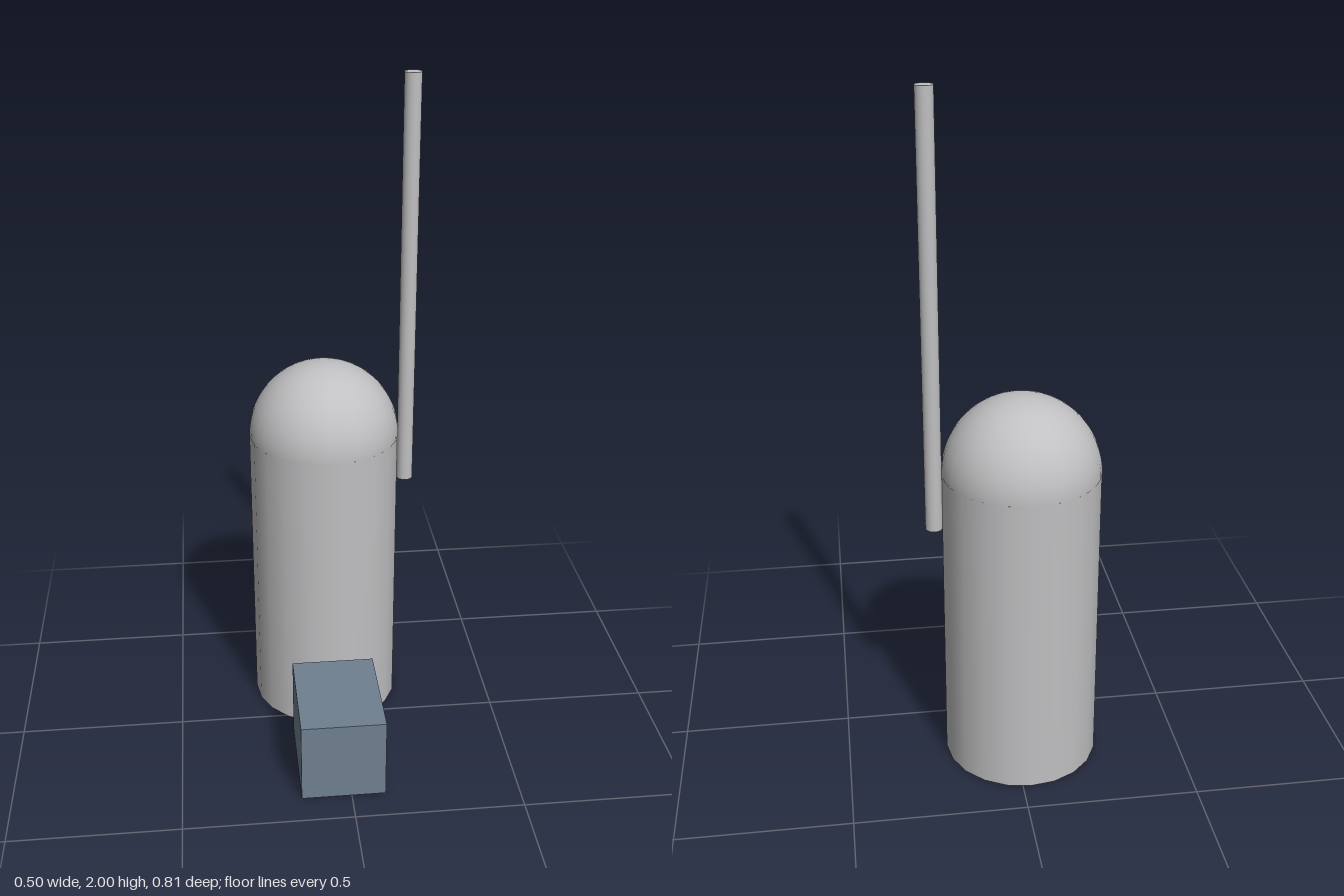
import * as THREE from 'three';

export function createModel() {
  const model = new THREE.Group();
  const silver = new THREE.MeshStandardMaterial({ color: 0xc0c0c2 });
  silver.name = 'silver metal';
  const slate = new THREE.MeshStandardMaterial({ color: 0x708090 });
  slate.name = 'slate blue';

  const add = (name, geometry, material, x, y, z) => {
    const mesh = new THREE.Mesh(geometry, material);
    mesh.name = name;
    mesh.position.set(x, y, z);
    model.add(mesh);
  };

  const radius = 0.228, wallHeight = 0.92, tankX = -0.025, tankZ = -0.178;

  // Upright tank with a hemispherical cap
  add('tankBody', new THREE.CylinderGeometry(radius, radius, wallHeight, 20),
    silver, tankX, wallHeight / 2, tankZ);
  add('tankDome', new THREE.SphereGeometry(radius, 32, 16, 0, Math.PI * 2, 0, Math.PI / 2),
    silver, tankX, wallHeight, tankZ);

  // Thin vent pipe against the tank's left side
  add('ventPipe', new THREE.CylinderGeometry(0.025, 0.025, 1.245, 20),
    silver, 0.227, 1.3775, tankZ);

  // Low equipment box in front of the tank
  add('equipmentBox', new THREE.BoxGeometry(0.25, 0.25, 0.332),
    slate, -0.024, 0.125, 0.239);

  return model;
}
